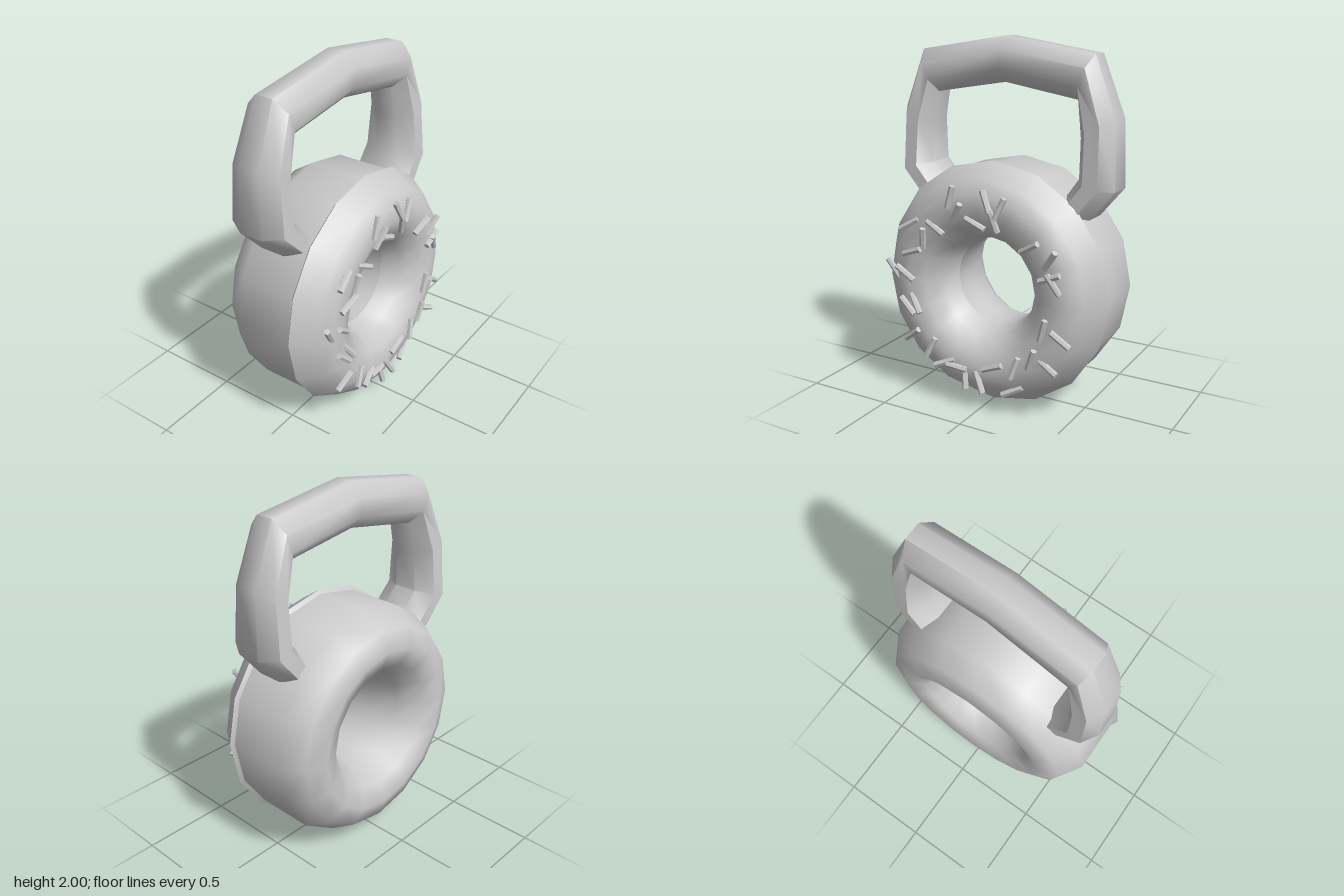
import * as THREE from 'three';
import { toCreasedNormals } from 'three/addons/utils/BufferGeometryUtils.js';

const CY = 0.68; // height of the ring's centre
const grey = new THREE.MeshStandardMaterial({ color: 0xcccccc });
const grey2 = new THREE.MeshStandardMaterial({ color: 0xcccccc, side: THREE.DoubleSide });

function addMesh(parent, name, geometry, material = grey) {
  const mesh = new THREE.Mesh(geometry, material);
  mesh.name = name;
  parent.add(mesh);
  return mesh;
}

// 16-sided ring turned around the z axis from [radius, z] points
function ring(points) {
  const g = new THREE.LatheGeometry(points.map(p => new THREE.Vector2(...p)), 16);
  g.rotateX(Math.PI / 2);
  g.translate(0, CY, 0);
  return toCreasedNormals(g, 0.8);
}

// Octagonal loops spanning [outer x, y, inner x, y, centre z, half depth]
function handleGeometry(sections) {
  const n = 8, pos = [], index = [];
  const k = 1 / Math.cos(Math.PI / 8);
  for (const [ox, oy, ix, iy, cz, hz] of sections) {
    for (let j = 0; j < n; j++) {
      const a = (j + 0.5) / n * Math.PI * 2;
      const t = 0.5 + 0.5 * k * Math.cos(a);
      pos.push(ix + (ox - ix) * t, iy + (oy - iy) * t, cz + hz * k * Math.sin(a));
    }
  }
  const last = (sections.length - 1) * n;
  for (let i = 0; i < last; i += n) {
    for (let j = 0; j < n; j++) {
      const a = i + j, b = i + (j + 1) % n;
      index.push(a, a + n, b, b, a + n, b + n);
    }
  }
  // end caps
  for (let j = 1; j < n - 1; j++) {
    index.push(0, j, j + 1, last, last + j + 1, last + j);
  }
  const g = new THREE.BufferGeometry();
  g.setAttribute('position', new THREE.Float32BufferAttribute(pos, 3));
  g.setIndex(index);
  return toCreasedNormals(g, 0.85);
}

export function createModel() {
  const model = new THREE.Group();
  model.name = 'doughnutKettlebell';

  // dough: hole, dished back, outer wall
  addMesh(model, 'dough', ring([
    [0.25, 0.1], [0.25, -0.04], [0.285, -0.2], [0.36, -0.325], [0.47, -0.368],
    [0.58, -0.325], [0.66, -0.2], [0.66, 0.13],
  ]));

  // icing: slightly wider front shell
  const icing = [
    [0.655, 0.12], [0.68, 0.14], [0.6, 0.26], [0.53, 0.305], [0.45, 0.315],
    [0.36, 0.285], [0.285, 0.2], [0.25, 0.08],
  ];
  addMesh(model, 'icing', ring(icing));

  // handle: slightly twisted loop from left foot to right foot
  addMesh(model, 'handle', handleGeometry([
    [-0.52, 1.08, -0.37, 1.17, -0.07, 0.17],
    [-0.67, 1.24, -0.48, 1.29, -0.075, 0.165],
    [-0.66, 1.6, -0.475, 1.5, -0.075, 0.145],
    [-0.535, 1.92, -0.44, 1.69, -0.065, 0.122],
    [0, 2, 0, 1.76, -0.045, 0.12],
    [0.52, 1.92, 0.43, 1.69, -0.025, 0.122],
    [0.645, 1.6, 0.455, 1.5, -0.02, 0.14],
    [0.655, 1.24, 0.455, 1.29, -0.02, 0.165],
    [0.52, 1.08, 0.37, 1.17, -0.02, 0.17],
  ]), grey2);

  // sprinkles: x, y in hundredths, tilt in degrees
  const spots = [
    -16, 118, 75, -12, 110, 60, 6, 118, -65, 14, 115, 65, 10, 108, -75,
    -2, 105, -25, 31, 97, 30, 43, 92, 55, 43, 83, 22, 45, 80, -60,
    -43, 100, 30, -26, 100, -28, -34, 93, 80, -41, 85, 20, -55, 73, -58,
    -46, 72, -40, -45, 53, -45, -40, 55, -55, -43, 36, 38, -30, 31, 65,
    -21, 24, 22, -13, 23, -5, -8, 18, -80, 1, 17, -62, 9, 27, 22,
    20, 15, 27, 23, 30, 72, 33, 37, 70, 42, 34, -25, 39, 54, 75, 49, 51, -38,
  ];
  // icing height at a given radius
  const surfaceZ = r => {
    const i = icing.findIndex(p => p[0] < r && p[1] > 0.13);
    const [r0, z0] = icing[i - 1], [r1, z1] = icing[i];
    return z0 + (z1 - z0) * (r - r0) / (r1 - r0);
  };
  const sprinkles = new THREE.Group();
  sprinkles.name = 'sprinkles';
  model.add(sprinkles);
  const stick = toCreasedNormals(new THREE.CylinderGeometry(0.017, 0.017, 0.125, 6), 0.6);
  stick.rotateZ(-Math.PI / 2);
  for (let i = 0; i < spots.length; i += 3) {
    const x = spots[i] / 100, y = spots[i + 1] / 100;
    const s = addMesh(sprinkles, 'sprinkle', stick);
    s.position.set(x, y, surfaceZ(Math.hypot(x, y - CY)) + 0.012);
    s.rotation.set(0, 0.22 * Math.sin(i * 1.7), spots[i + 2] * Math.PI / 180, 'ZYX');
  }
  return model;
}
